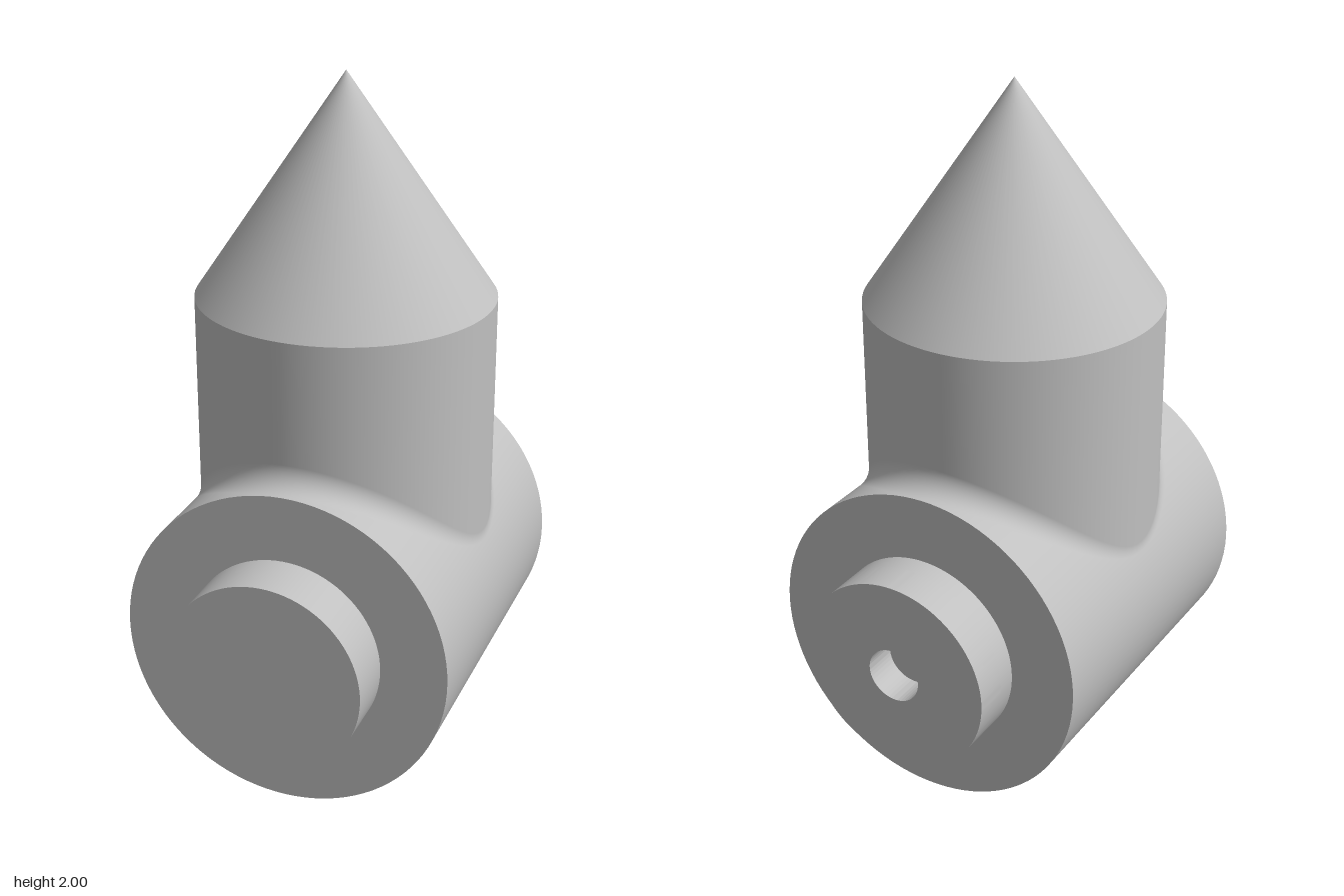
import * as THREE from 'three';
import { toCreasedNormals } from 'three/addons/utils/BufferGeometryUtils.js';

const SEG = 96;
const BODY_R = 0.476, BODY_HALF = 0.491;
const POST_R = 0.426, POST_TOP = 1.37, TOP = 2;
const BOSS_R = 0.284, BOSS_END = 0.65;
const BORE_R = 0.08, BORE_DEPTH = 0.1;
const FILLET_R = 0.065;

// Rolling-ball blend between the upright post and the horizontal body
function filletGeometry(steps = 10) {
  const pos = [], nor = [], idx = [];
  const p = new THREE.Vector3(), dir = new THREE.Vector3();
  for (let i = 0; i <= SEG; i++) {
    const t = (i / SEG) * Math.PI * 2, s = Math.sin(t), c = Math.cos(t);
    const reach = POST_R + FILLET_R;
    const ball = new THREE.Vector3(reach * s, 0, reach * c);
    const rise = Math.sqrt((BODY_R + FILLET_R) ** 2 - ball.x ** 2);
    ball.y = BODY_R + rise;
    // directions from the ball centre to its two contact points
    const toPost = new THREE.Vector3(-s, 0, -c);
    const toBody = new THREE.Vector3(-ball.x, -rise, 0).normalize();
    const angle = toPost.angleTo(toBody);
    for (let j = 0; j <= steps; j++) {
      const k = j / steps;
      dir.set(0, 0, 0)
        .addScaledVector(toPost, Math.sin((1 - k) * angle))
        .addScaledVector(toBody, Math.sin(k * angle))
        .normalize();
      p.copy(ball).addScaledVector(dir, FILLET_R);
      pos.push(p.x, p.y, p.z);
      nor.push(-dir.x, -dir.y, -dir.z);
      if (i < SEG && j < steps) {
        const a = i * (steps + 1) + j, b = a + steps + 1;
        idx.push(a, a + 1, b, a + 1, b + 1, b);
      }
    }
  }
  const geo = new THREE.BufferGeometry();
  geo.setAttribute('position', new THREE.Float32BufferAttribute(pos, 3));
  geo.setAttribute('normal', new THREE.Float32BufferAttribute(nor, 3));
  geo.setIndex(idx);
  return geo;
}

export function createModel() {
  const model = new THREE.Group();
  model.name = 'teeFitting';
  const grey = new THREE.MeshStandardMaterial({ color: 0xc0c0c0 });
  grey.name = 'grey';

  const add = (name, geo, y = 0, z = 0) => {
    const mesh = new THREE.Mesh(geo, grey);
    mesh.name = name;
    mesh.position.set(0, y, z);
    model.add(mesh);
  };
  // Solid cylinder lying along z between two depths
  const addBar = (name, r, z0, z1) =>
    add(name, new THREE.CylinderGeometry(r, r, z1 - z0, SEG).rotateX(Math.PI / 2), BODY_R, (z0 + z1) / 2);

  // Horizontal body and its end bosses
  addBar('body', BODY_R, -BODY_HALF, BODY_HALF);
  addBar('frontBoss', BOSS_R, BODY_HALF - 0.02, BOSS_END);
  addBar('backBossBase', BOSS_R, -BOSS_END + BORE_DEPTH, -BODY_HALF + 0.02);

  // Back boss end with a blind bore
  const ring = new THREE.Shape().absarc(0, 0, BOSS_R, 0, Math.PI * 2);
  ring.holes.push(new THREE.Path().absarc(0, 0, BORE_R, 0, Math.PI * 2, true));
  const bored = new THREE.ExtrudeGeometry(ring, { depth: BORE_DEPTH, bevelEnabled: false, curveSegments: SEG });
  add('backBossBored', toCreasedNormals(bored, 0.5), BODY_R, -BOSS_END);

  // Upright post with pointed cap
  const postBase = 0.6, postH = POST_TOP - postBase, coneH = TOP - POST_TOP;
  add('post', new THREE.CylinderGeometry(POST_R, POST_R, postH, SEG, 1, true), postBase + postH / 2);
  add('cone', new THREE.ConeGeometry(POST_R, coneH, SEG, 1, true), POST_TOP + coneH / 2);
  add('fillet', filletGeometry());

  return model;
}
